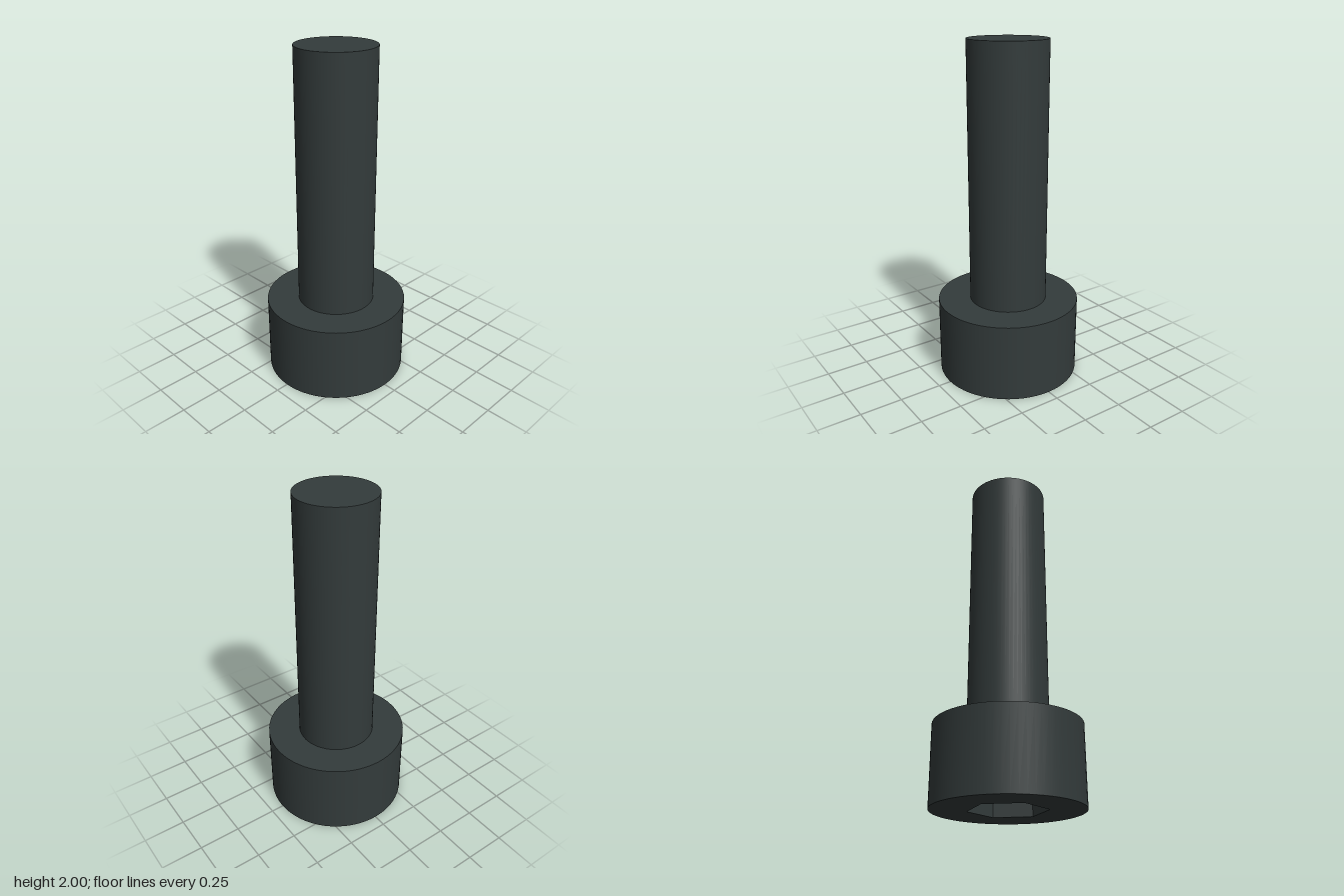
import * as THREE from 'three';

const SEGMENTS = 64;
const HEAD_RADIUS = 0.423, HEAD_HEIGHT = 0.4615;
const SHANK_RADIUS = 0.231, TOTAL_HEIGHT = 2;
const SOCKET_RADIUS = 0.222, SOCKET_DEPTH = 0.231;

export function createModel() {
  const model = new THREE.Group();
  model.name = 'socketHeadBolt';

  const steel = new THREE.MeshStandardMaterial({ color: 0x333b3b });
  steel.name = 'black steel';

  const add = (parent, name, geometry, y = 0) => {
    const mesh = new THREE.Mesh(geometry, steel);
    mesh.name = name;
    mesh.position.y = y;
    parent.add(mesh);
  };

  // Plain round shank standing on the head
  const shankLength = TOTAL_HEIGHT - HEAD_HEIGHT;
  const shankWall = new THREE.CylinderGeometry(SHANK_RADIUS, SHANK_RADIUS, shankLength, SEGMENTS, 1, true);
  add(model, 'shank', shankWall, HEAD_HEIGHT + shankLength / 2);
  add(model, 'shankTip', new THREE.CircleGeometry(SHANK_RADIUS, SEGMENTS).rotateX(-Math.PI / 2), TOTAL_HEIGHT);

  // Cylindrical head with a flat shoulder
  const head = new THREE.Group();
  head.name = 'head';
  model.add(head);
  const headWall = new THREE.CylinderGeometry(HEAD_RADIUS, HEAD_RADIUS, HEAD_HEIGHT, SEGMENTS, 1, true);
  add(head, 'headWall', headWall, HEAD_HEIGHT / 2);
  const shoulder = new THREE.RingGeometry(SHANK_RADIUS, HEAD_RADIUS, SEGMENTS).rotateX(-Math.PI / 2);
  add(head, 'headShoulder', shoulder, HEAD_HEIGHT);

  // Underside of the head, cut by the hexagonal socket
  const polygon = (radius, sides) => Array.from({ length: sides }, (_, i) => {
    const a = (i / sides) * Math.PI * 2;
    return new THREE.Vector2(radius * Math.cos(a), radius * Math.sin(a));
  });
  const face = new THREE.Shape(polygon(HEAD_RADIUS, SEGMENTS));
  face.holes.push(new THREE.Path(polygon(SOCKET_RADIUS, 6)));
  add(head, 'headFace', new THREE.ShapeGeometry(face).rotateX(Math.PI / 2));

  // Socket walls, mirrored so that they face inward, with flat sides
  const walls = new THREE.CylinderGeometry(
    SOCKET_RADIUS, SOCKET_RADIUS, SOCKET_DEPTH, 6, 1, true, Math.PI / 2
  ).scale(-1, 1, 1).toNonIndexed();
  walls.computeVertexNormals();
  add(head, 'socketWalls', walls, SOCKET_DEPTH / 2);
  add(head, 'socketFloor', new THREE.CircleGeometry(SOCKET_RADIUS, 6).rotateX(Math.PI / 2), SOCKET_DEPTH);

  return model;
}
